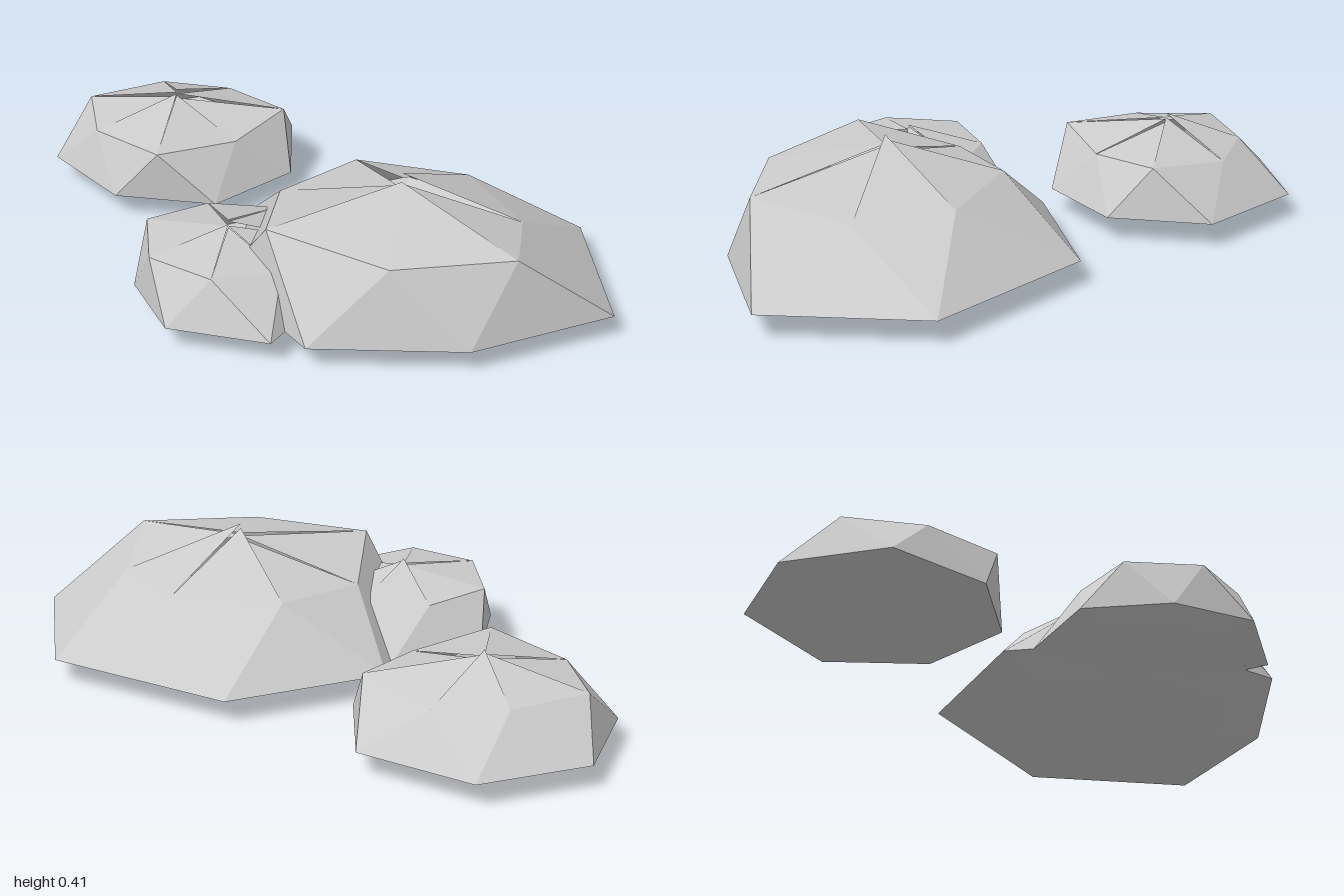
import * as THREE from 'three';

const EQUATOR_Y = 0.075;

// Each rock: peak (x, z), cracked tip heights, upper ring [x, y, z],
// equator ring [x, z], underside centre (x, z), height of the underside ring
// and of the lowest point.
const ROCKS = [
  {
    name: 'largeRock', peak: [0.34, 0.08], base: [0.29, 0.07],
    tips: [0.375, 0.385, 0.385, 0.38, 0.415, 0.4, 0.365],
    upper: [[-0.05, 0.27, 0.1], [0.06, 0.325, 0.41], [0.46, 0.305, 0.43], [0.77, 0.31, 0.23],
      [0.67, 0.26, -0.06], [0.42, 0.27, -0.24], [0.08, 0.28, -0.16]],
    equator: [[-0.23, -0.09], [-0.13, 0.34], [0.27, 0.58], [0.7, 0.39], [1, 0.03], [0.73, -0.41], [0.12, -0.47]],
    underY: 0.032, bottomY: 0,
  },
  {
    name: 'backRock', peak: [-0.62, -0.29], base: [-0.62, -0.29],
    tips: [0.29, 0.285, 0.275, 0.29, 0.305, 0.295, 0.28],
    upper: [[-0.79, 0.22, -0.07], [-0.52, 0.24, 0.02], [-0.36, 0.22, -0.2], [-0.31, 0.235, -0.44],
      [-0.56, 0.21, -0.54], [-0.77, 0.22, -0.47], [-0.93, 0.22, -0.27]],
    equator: [[-0.96, -0.09], [-0.66, 0.05], [-0.35, -0.04], [-0.23, -0.33], [-0.37, -0.62], [-0.75, -0.67], [-1, -0.42]],
    underY: 0.048, bottomY: 0.03,
  },
  {
    name: 'smallRock', peak: [-0.1, 0.34], base: [-0.1, 0.34],
    tips: [0.26, 0.265, 0.255, 0.26, 0.275, 0.28, 0.26],
    upper: [[-0.37, 0.22, 0.35], [-0.25, 0.225, 0.55], [-0.03, 0.225, 0.58], [0.12, 0.21, 0.43],
      [0.08, 0.21, 0.22], [-0.06, 0.21, 0.1], [-0.26, 0.21, 0.17]],
    equator: [[-0.41, 0.23], [-0.34, 0.49], [-0.14, 0.66], [0.17, 0.6], [0.2, 0.3], [0.05, 0.04], [-0.21, 0]],
    underY: 0.05, bottomY: 0.04,
  },
];

// Joins the rings of a rock into faceted bands with a cap at both ends
function rockGeometry({ peak: [px, pz], base: [bx, bz], tips, upper, equator, underY, bottomY }) {
  const middle = equator.map(([x, z]) => [x, EQUATOR_Y, z]);
  const under = equator.map(([x, z]) => [bx + (x - bx) * 0.68, underY, bz + (z - bz) * 0.68]);
  const rings = [upper, middle, under];
  const points = [];
  const face = (...corners) => corners.forEach((p) => points.push(...p));
  const count = upper.length;
  for (let i = 0; i < count; i++) {
    const j = (i + 1) % count;
    face([px, tips[i], pz], upper[i], upper[j]);
    for (let r = 0; r < 2; r++) {
      const top = rings[r], low = rings[r + 1];
      face(top[j], top[i], low[j]);
      face(top[i], low[i], low[j]);
    }
    face(under[j], under[i], [px, bottomY, pz]);
  }
  const geometry = new THREE.BufferGeometry();
  geometry.setAttribute('position', new THREE.Float32BufferAttribute(points, 3));
  geometry.computeVertexNormals();
  return geometry;
}

export function createModel() {
  const group = new THREE.Group();
  group.name = 'rocks';
  // Both sides show through the cracks at the peaks
  const stone = new THREE.MeshStandardMaterial({ color: 0xcccccc, flatShading: true, side: THREE.DoubleSide });
  stone.name = 'greyStone';
  for (const rock of ROCKS) {
    const mesh = new THREE.Mesh(rockGeometry(rock), stone);
    mesh.name = rock.name;
    group.add(mesh);
  }
  return group;
}
